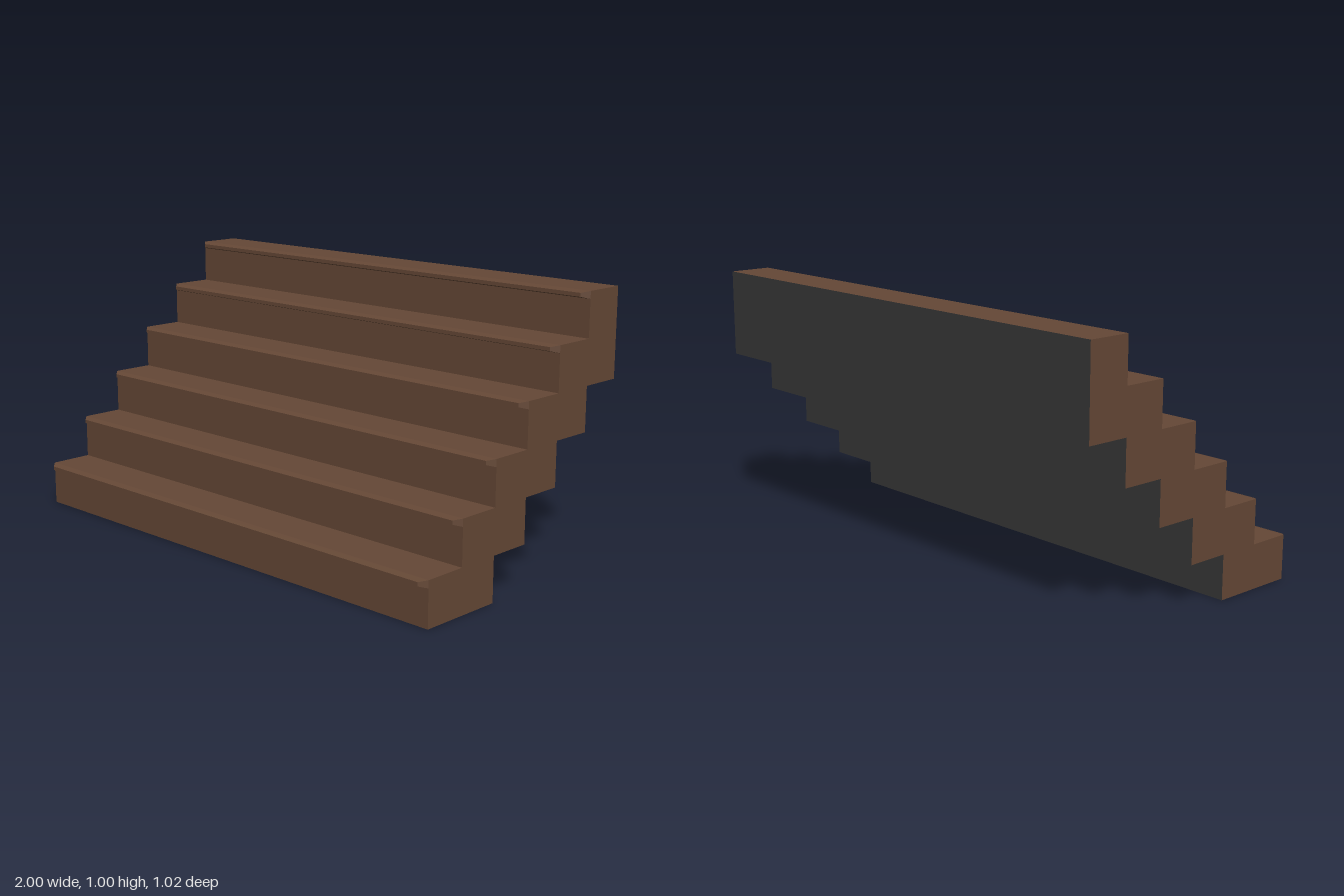
import * as THREE from 'three';

const STEPS = 6;
const RISE = 1 / STEPS;
const RUN = 1 / STEPS;
const FRONT = 0.488;
const HALF = 1;

// Flat-shaded mesh from four-cornered faces, corners counter-clockwise
function quadMesh(name, quads, material) {
  const pos = quads.flatMap(([a, b, c, d]) => [a, b, c, a, c, d].flat());
  const geo = new THREE.BufferGeometry();
  geo.setAttribute('position', new THREE.Float32BufferAttribute(pos, 3));
  geo.computeVertexNormals();
  const mesh = new THREE.Mesh(geo, material);
  mesh.name = name;
  return mesh;
}

// Strip of faces across the width, following [z, y, half width] points
function ribbon(path) {
  return path.slice(1).map(([z1, y1, w1 = HALF], i) => {
    const [z0, y0, w0 = HALF] = path[i];
    return [[-w0, y0, z0], [w0, y0, z0], [w1, y1, z1], [-w1, y1, z1]];
  });
}

export function createModel() {
  const wood = new THREE.MeshStandardMaterial({ color: 0x654836 });
  wood.name = 'brown wood';
  const dark = new THREE.MeshStandardMaterial({ color: 0x393939 });
  dark.name = 'dark underside';

  const model = new THREE.Group();
  model.name = 'staircase';

  // Upper profile: risers and treads from the floor to the top back edge
  const upper = [[FRONT, 0]];
  for (let i = 0; i < STEPS; i++) {
    const z = FRONT - i * RUN, y = (i + 1) * RISE;
    upper.push([z, y], [z - RUN, y]);
  }
  model.add(quadMesh('treadsAndRisers', ribbon(upper), wood));

  // Lower profile: stepped back and underside from the top down to the floor
  const lower = [[FRONT - STEPS * RUN, 1]];
  for (let i = STEPS - 1; i > 0; i--) {
    const z = FRONT - (i + 1) * RUN, y = (i - 1) * RISE;
    lower.push([z, y], [z + RUN, y]);
  }
  lower.push([FRONT, 0]);
  model.add(quadMesh('underside', ribbon(lower), dark));

  // Side walls: one block per step, the lower steps reaching two runs deep
  for (const side of [-1, 1]) {
    const quads = [];
    for (let i = 0; i < STEPS; i++) {
      const zf = FRONT - i * RUN, zb = zf - RUN;
      const y0 = Math.max(0, i - 1) * RISE, y1 = (i + 1) * RISE;
      const x = side * HALF;
      const quad = [[x, y0, zf], [x, y0, zb], [x, y1, zb], [x, y1, zf]];
      quads.push(side > 0 ? quad : quad.reverse());
    }
    model.add(quadMesh(side > 0 ? 'leftSide' : 'rightSide', quads, wood));
  }

  // Bevelled nosing along the front edge of every tread
  const lip = [[0, -0.028, HALF], [0.024, -0.021, 0.975], [0.024, -0.007, 0.975], [0, 0, HALF]];
  const leftEnd = lip.map(([z, y, w]) => [w, y, z]).reverse();
  const rightEnd = lip.map(([z, y, w]) => [-w, y, z]);
  for (let i = 0; i < STEPS; i++) {
    const nosing = quadMesh('nosing' + (i + 1), [...ribbon(lip), leftEnd, rightEnd], wood);
    nosing.position.set(0, (i + 1) * RISE, FRONT - i * RUN);
    model.add(nosing);
  }
  return model;
}
